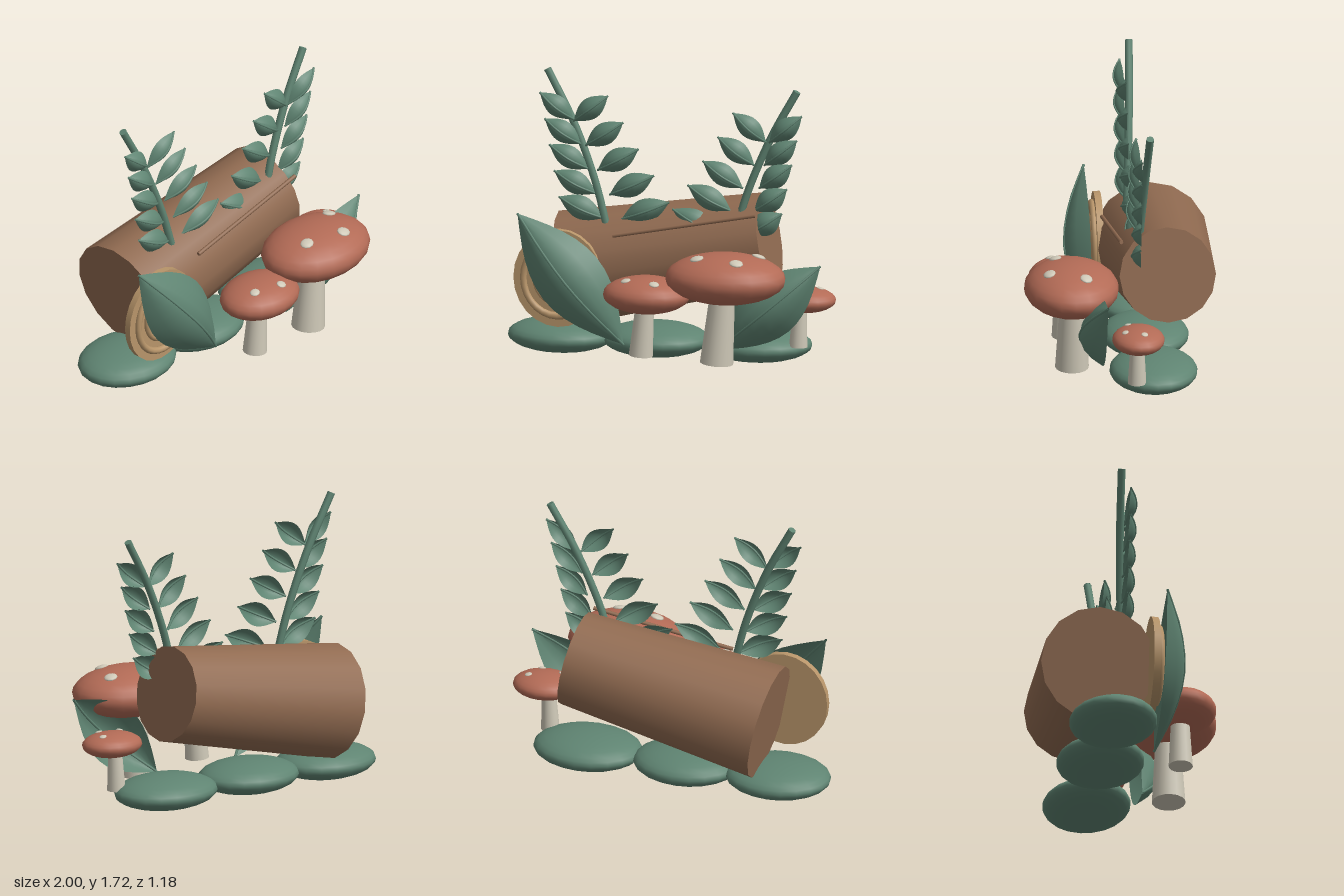
import * as THREE from 'three';

const mat = (name, color) => Object.assign(new THREE.MeshStandardMaterial({ color }), { name });
const V = (x, y, z) => new THREE.Vector3(x, y, z);

export function createModel() {
  const root = new THREE.Group();
  root.name = 'forestLog';
  const green = mat('leaf green', 0x5f8472);
  green.side = THREE.DoubleSide;
  const bark = mat('bark brown', 0x916b51);
  const wood = mat('cut wood tan', 0xb8956a);
  const red = mat('mushroom red', 0xb36b56);
  const cream = mat('mushroom cream', 0xcec8b7);

  const add = (name, geo, material, parent = root) => {
    const m = new THREE.Mesh(geo, material);
    m.name = name;
    parent.add(m);
    return m;
  };
  const ellipsoid = (name, c, r, material, parent = root, w = 20, h = 14) => {
    const m = add(name, new THREE.SphereGeometry(1, w, h), material, parent);
    m.position.set(...c);
    m.scale.set(...r);
    return m;
  };
  // Tapered rod between two points
  const rod = (name, a, b, r0, r1, material, parent = root, sides = 16) => {
    const d = b.clone().sub(a);
    const m = add(name, new THREE.CylinderGeometry(r1, r0, d.length(), sides), material, parent);
    m.position.copy(a).add(b).multiplyScalar(0.5);
    m.quaternion.setFromUnitVectors(V(0, 1, 0), d.normalize());
    return m;
  };

  // Tapered log, raised at its left end
  rod('log', V(-0.65, 0.485, -0.25), V(0.555, 0.715, -0.25), 0.345, 0.285, bark);
  rod('barkRidge', V(-0.32, 0.765, 0.065), V(0.53, 0.92, 0.022), 0.012, 0.012, bark, root, 8);

  // Cut slice with a raised growth ring
  const slice = new THREE.Group();
  slice.name = 'cutSlice';
  slice.position.set(-0.647, 0.495, 0.065);
  slice.scale.set(1, 1.1, 1);
  root.add(slice);
  add('sliceDisc', new THREE.CylinderGeometry(0.267, 0.267, 0.04, 24).rotateX(Math.PI / 2), wood, slice);
  add('growthRing', new THREE.TorusGeometry(0.205, 0.02, 8, 28), wood, slice).position.z = 0.03;
  add('innerRing', new THREE.TorusGeometry(0.13, 0.02, 8, 24), wood, slice).position.z = 0.03;

  // Flat mossy mounds
  for (const [x, rx] of [[-0.68, 0.32], [-0.11, 0.32], [0.5, 0.33]])
    ellipsoid('mossMound', [x, 0.101, -0.17], [rx, 0.1, 0.26], green);

  // Mushrooms: tapered stem, oval cap, spots set on the cap surface
  const mushroom = (foot, neck, r0, r1, c, r, spotSize, spots) => {
    const g = new THREE.Group();
    g.name = 'mushroom';
    root.add(g);
    rod('mushroomStem', V(...foot), V(...neck), r0, r1, cream, g);
    ellipsoid('mushroomCap', c, r, red, g);
    for (const [x, z] of spots) {
      const dx = (x - c[0]) / r[0], dz = (z - c[2]) / r[2];
      const k = Math.sqrt(Math.max(0, 1 - dx * dx - dz * dz));
      const s = ellipsoid('capSpot', [x, c[1] + r[1] * k, z], [spotSize, spotSize * 0.35, spotSize * 0.9], cream, g, 10, 8);
      s.quaternion.setFromUnitVectors(V(0, 1, 0), V(dx / r[0], k / r[1], dz / r[2]).normalize());
    }
  };
  mushroom([0.36, 0.085, 0.3], [0.395, 0.5, 0.3], 0.1, 0.075, [0.415, 0.6, 0.308], [0.36, 0.15, 0.28], 0.042,
    [[0.26, 0.39], [0.51, 0.445], [0.6, 0.235]]);
  mushroom([-0.095, 0.11, 0.31], [-0.07, 0.42, 0.31], 0.072, 0.055, [-0.06, 0.48, 0.315], [0.26, 0.11, 0.21], 0.031,
    [[-0.17, 0.385], [0.01, 0.425]]);
  mushroom([0.775, 0.125, -0.05], [0.785, 0.38, -0.05], 0.055, 0.04, [0.81, 0.41, -0.055], [0.19, 0.075, 0.155], 0.023,
    [[0.9, -0.085], [0.715, 0], [0.85, 0.025]]);

  // Pointed, domed leaf with a raised midrib
  const leaf = (name, base, tip, halfWidth, dome, rib, parent = root) => {
    const g = new THREE.Group();
    g.name = name;
    parent.add(g);
    const d = tip.clone().sub(base);
    const n = V(-d.y, d.x, 0).normalize();
    const at = (u, v) => {
      const s = Math.sin(Math.PI * u);
      const p = base.clone().addScaledVector(d, u).addScaledVector(n, v * halfWidth * s);
      p.z += dome * s * (1 - v * v);
      return p;
    };
    const geo = new THREE.PlaneGeometry(1, 1, 12, 6);
    const pos = geo.attributes.position;
    for (let i = 0; i < pos.count; i++) {
      const p = at(pos.getX(i) + 0.5, pos.getY(i) * 2);
      pos.setXYZ(i, p.x, p.y, p.z);
    }
    geo.computeVertexNormals();
    add('leafBlade', geo, green, g);
    const path = new THREE.CatmullRomCurve3([0, 0.25, 0.5, 0.75, 1].map(u => at(u, 0)));
    add('leafRib', new THREE.TubeGeometry(path, 10, rib, 6), green, g);
  };
  leaf('broadLeafRight', V(-0.24, 0.125, 0.13), V(-0.88, 0.885, 0.125), 0.21, 0.14, 0.008);
  leaf('broadLeafLeft', V(0.33, 0.125, 0.14), V(0.95, 0.66, 0.135), 0.18, 0.14, 0.008);

  // Ferns: curved stalk with two rows of five leaflets, spaced from top to bottom
  const fern = (stalk, rows) => {
    const g = new THREE.Group();
    g.name = 'fern';
    root.add(g);
    const path = new THREE.CatmullRomCurve3(stalk.map(p => V(...p)));
    add('fernStalk', new THREE.TubeGeometry(path, 16, 0.023, 8), green, g);
    for (const end of [0, 1]) {
      const cap = add('stalkEnd', new THREE.CircleGeometry(0.023, 8), green, g);
      cap.position.copy(path.getPoint(end));
      cap.quaternion.setFromUnitVectors(V(0, 0, 1), path.getTangent(end));
    }
    for (const [b0, b1, t0, t1] of rows)
      for (let i = 0; i < 5; i++) {
        const mix = (a, b, z) => V(a[0] + (b[0] - a[0]) * i / 4, a[1] + (b[1] - a[1]) * i / 4, z);
        leaf('fernLeaflet', mix(b0, b1, -0.095), mix(t0, t1, -0.08), 0.064 + i * 0.002, 0.052, 0.007, g);
      }
  };
  fern([[-0.38, 0.75, -0.085], [-0.46, 1.05, -0.1], [-0.59, 1.39, -0.118], [-0.755, 1.71, -0.13]], [
    [[-0.59, 1.42], [-0.41, 0.83], [-0.79, 1.575], [-0.675, 0.95]],
    [[-0.59, 1.41], [-0.3, 0.83], [-0.38, 1.575], [-0.01, 0.95]],
  ]);
  fern([[0.38, 0.75, -0.085], [0.455, 1.02, -0.1], [0.595, 1.36, -0.118], [0.75, 1.645, -0.13]], [
    [[0.57, 1.34], [0.29, 0.77], [0.375, 1.51], [0.01, 0.91]],
    [[0.59, 1.34], [0.47, 0.78], [0.79, 1.51], [0.67, 0.915]],
  ]);
  return root;
}
